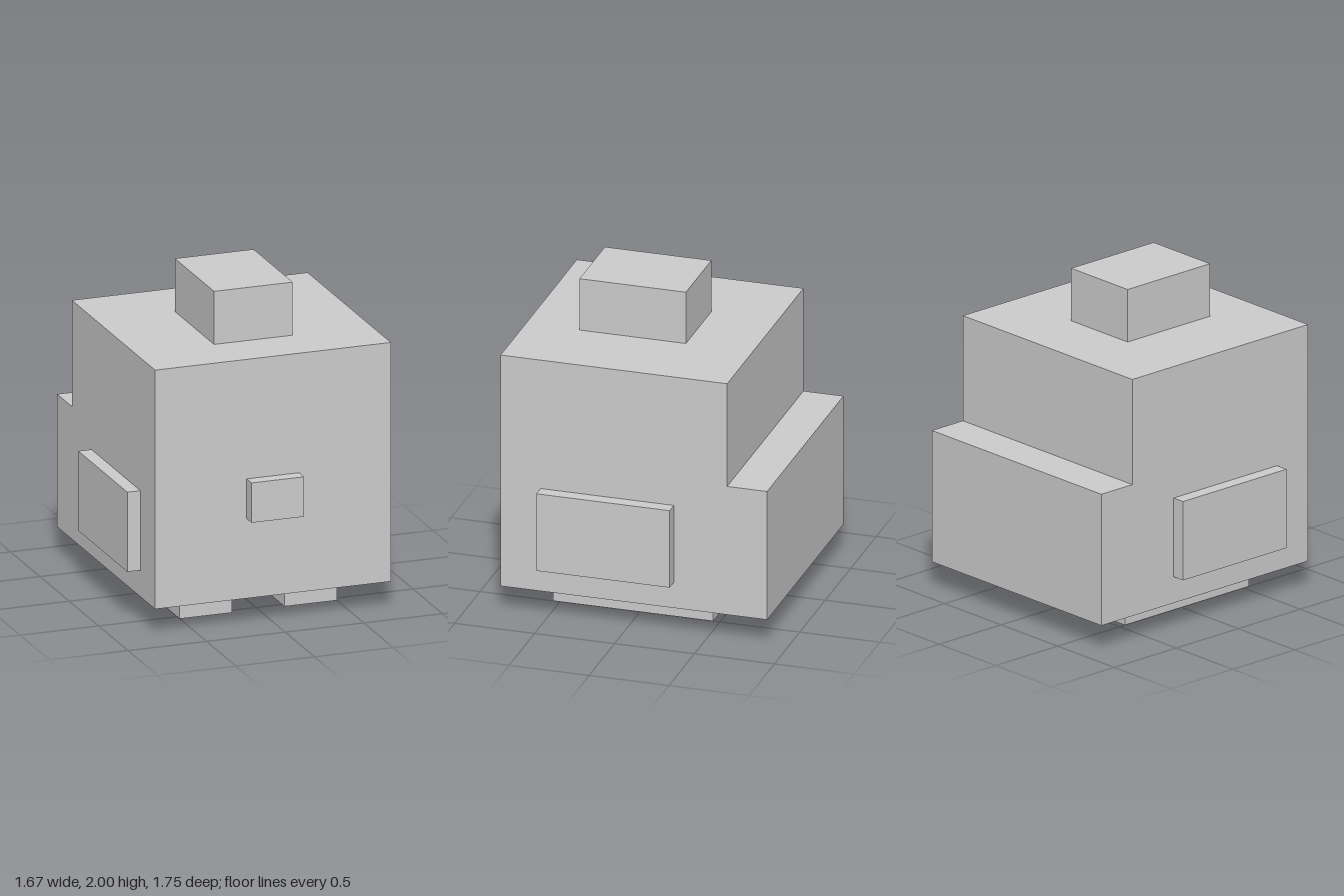
import * as THREE from 'three';

const material = new THREE.MeshStandardMaterial({ color: 0xcccccc, flatShading: true });

// Box given by its [min, max] range on each axis
function block(name, [x0, x1], [y0, y1], [z0, z1]) {
  const mesh = new THREE.Mesh(new THREE.BoxGeometry(x1 - x0, y1 - y0, z1 - z0), material);
  mesh.position.set((x0 + x1) / 2, (y0 + y1) / 2, (z0 + z1) / 2);
  mesh.name = name;
  return mesh;
}

// Stepped side profile as [z, y], extruded across the width
function createBody() {
  const profile = [
    [0.792, 0.167], [-0.875, 0.167], [-0.875, 1],
    [-0.625, 1], [-0.625, 1.667], [0.792, 1.667],
  ];
  const shape = new THREE.Shape(profile.map(([z, y]) => new THREE.Vector2(-z, y)));
  const geometry = new THREE.ExtrudeGeometry(shape, { depth: 1.5, bevelEnabled: false });
  geometry.translate(0, 0, -0.75).rotateY(Math.PI / 2);
  const mesh = new THREE.Mesh(geometry, material);
  mesh.name = 'body';
  return mesh;
}

export function createModel() {
  const model = new THREE.Group();
  model.name = 'blockModel';

  model.add(createBody());
  model.add(block('topBlock', [-0.25, 0.25], [1.667, 2], [-0.208, 0.458]));
  model.add(block('frontKnob', [-0.167, 0.167], [0.667, 0.917], [0.792, 0.875]));

  // Mirrored side panels and feet
  for (const [side, s] of [['left', 1], ['right', -1]]) {
    const span = (a, b) => (s > 0 ? [a, b] : [-b, -a]);
    model.add(block(`${side}SidePanel`, span(0.75, 0.833), [0.333, 0.833], [-0.292, 0.542]));
    model.add(block(`${side}Foot`, span(0.167, 0.5), [0, 0.167], [-0.458, 0.542]));
  }

  return model;
}
